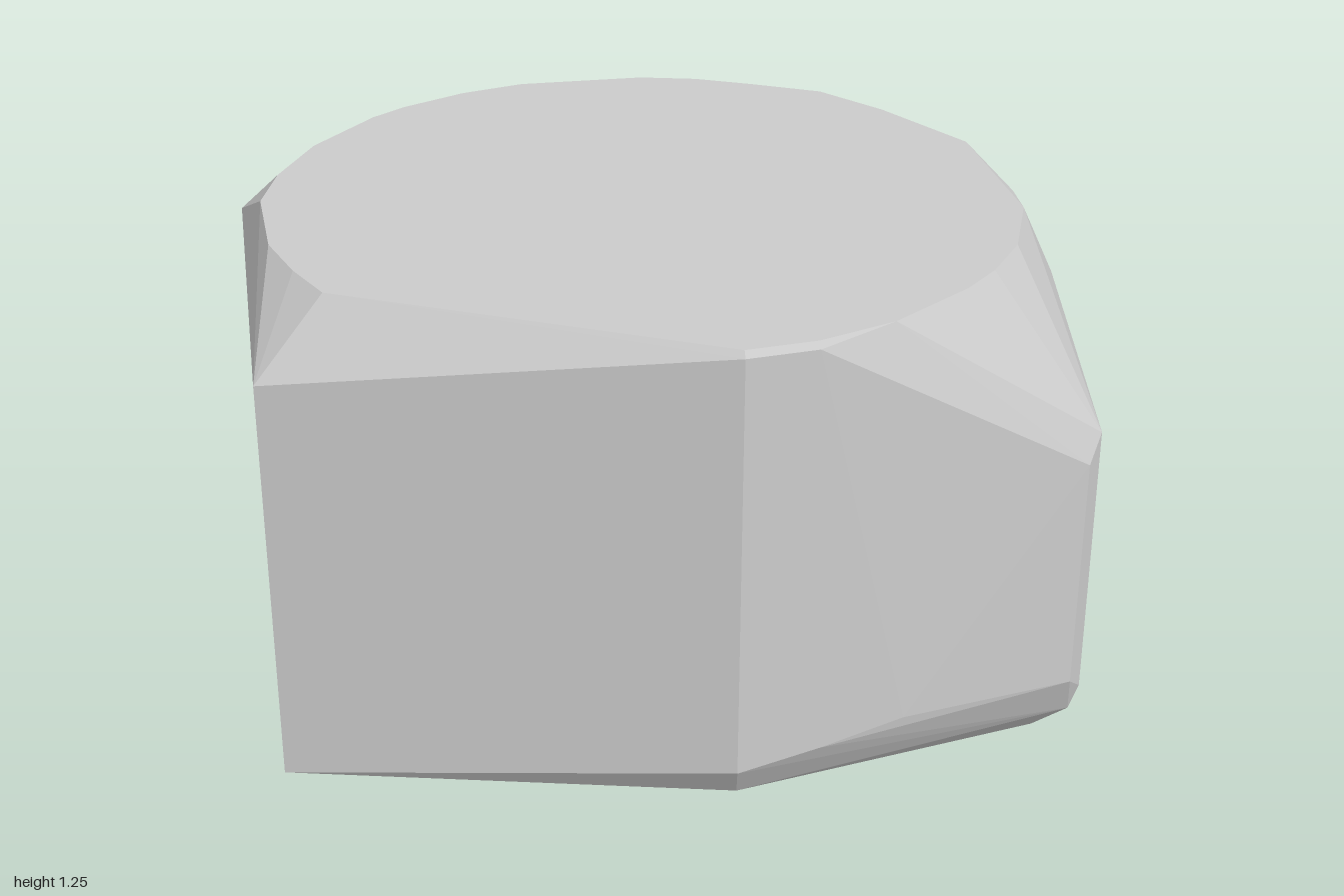
import * as THREE from 'three';
import { ConvexGeometry } from 'three/addons/geometries/ConvexGeometry.js';

export function createModel() {
  const group = new THREE.Group();
  const points = [];
  const add = (x, y, z) => points.push(new THREE.Vector3(x, y, z));

  // flat, almost round top (x, z)
  const top = [
    [-0.95, -0.14], [-0.9, -0.32], [-0.8, -0.52], [-0.63, -0.72], [-0.54, -0.79],
    [-0.37, -0.88], [-0.2, -0.93], [0.14, -0.93], [0.29, -0.89], [0.43, -0.82],
    [0.61, -0.72], [0.74, -0.54], [0.89, -0.25], [0.89, 0.23], [0.8, 0.46],
    [0.7, 0.6], [0.61, 0.69], [0.4, 0.84], [0.21, 0.91], [0.04, 0.93],
    [-0.83, 0.46], [-0.89, 0.32], [-0.94, 0.15],
  ];
  for (const [x, z] of top) add(x, 1.246, z);

  // rim just below the top
  add(-0.2, 1.23, -0.946);
  add(0.18, 1.23, -0.944);
  add(0.04, 1.23, 0.942);
  add(0.21, 1.23, 0.922);
  add(0.94, 1.2, 0);

  // sharp corners of the left-hand end
  add(-1, 1.05, 0.51);
  add(-1, 0, 0.51);
  add(-1, 0, -0.48);
  add(-1, 0.94, -0.9);

  // rounded flat face on the +x end (y, z)
  const side = [
    [1.04, 0.16], [1.04, -0.16], [0.95, 0.31], [0.95, -0.33], [0.72, 0.49], [0.8, -0.48],
    [0.6, 0.52], [0.67, -0.53], [0.39, 0.52], [0.39, -0.53], [0.2, 0.45], [0.16, -0.43],
    [0.03, 0.23], [0.03, -0.25],
  ];
  for (const [y, z] of side) add(1, y, z);

  // upright corner edges and the bevel around the base, front and back
  for (const s of [1, -1]) {
    add(0.93, 0.89, s * 0.765);
    add(0.93, 0.2, s * 0.77);
    add(0.89, 0.83, s * 0.81);
    add(0.89, 0.24, s * 0.81);
    add(0.45, 0.24, s * 0.89);
    add(0.24, 0.2, s * 0.922);
    add(0.04, 0.165, s * 0.942);
    add(0.05, 0.08, s * 0.89);
    add(0.05, 0.03, s * 0.8);
    add(0.91, 0.13, s * 0.76);
    add(0.92, 0.08, s * 0.68);
    add(0.85, 0.038, s * 0.68);
  }

  const body = new THREE.Mesh(
    new ConvexGeometry(points),
    new THREE.MeshStandardMaterial({ color: 0xcccccc, flatShading: true })
  );
  body.name = 'facetedBlock';
  group.add(body);
  return group;
}
